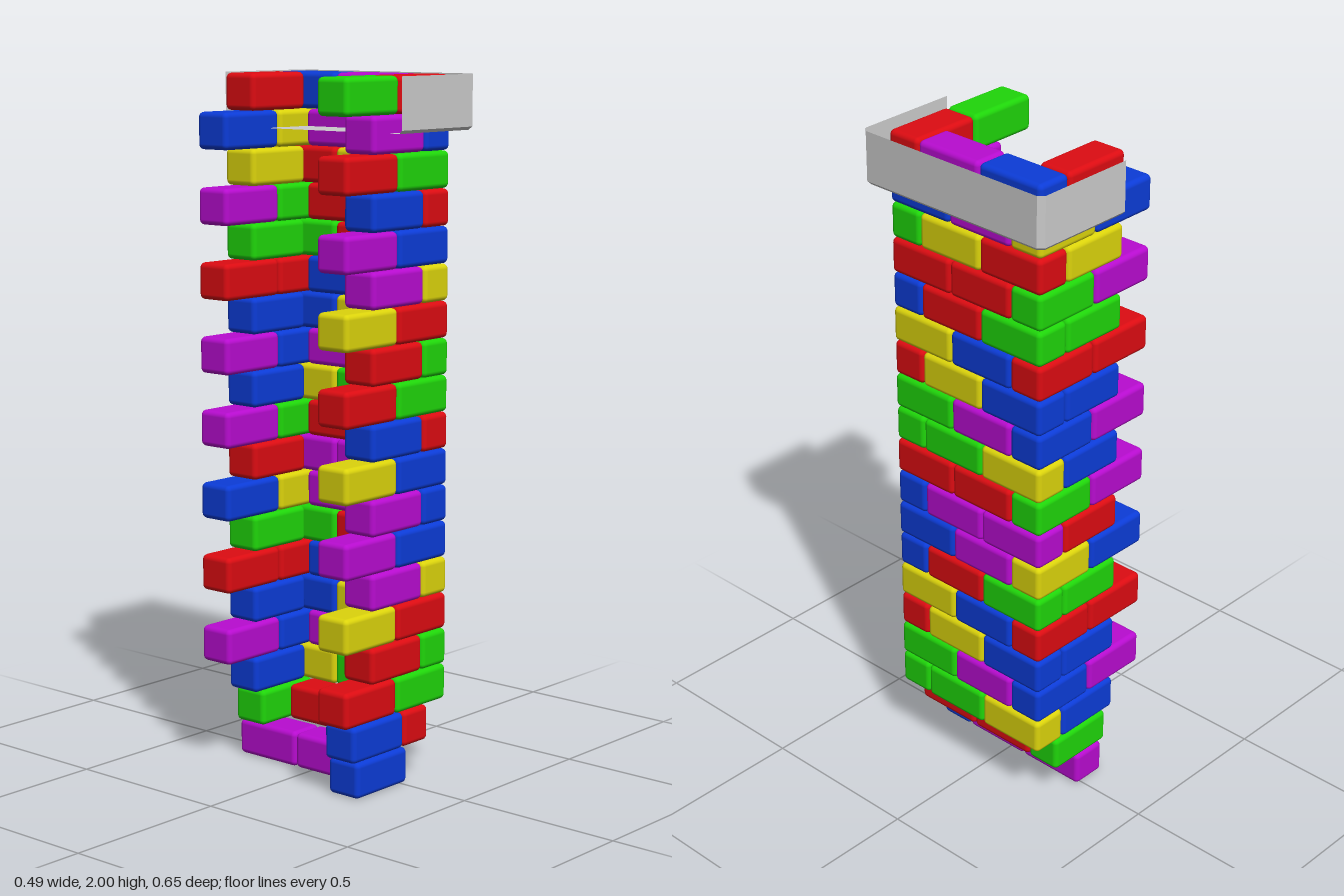
import * as THREE from 'three';
import { RoundedBoxGeometry } from 'three/addons/geometries/RoundedBoxGeometry.js';

const ROW = 2 / 19;               // height of one course
const L = 0.22, W = 0.11;         // brick length and width
const SIDE_X = 0.142, WALL_Z = 0.221;

const colors = { R: 0xdd0c12, G: 0x1fd60a, B: 0x0c3cd8, Y: 0xdcd40c, M: 0xb80cd0 };
const materials = {};
for (const k in colors) materials[k] = new THREE.MeshStandardMaterial({ color: colors[k] });

// Brick slots: [name, x, z, runs along z]
const evenSlots = [
  ['frontBrick', -0.136, WALL_Z], ['frontBrick', 0.086, WALL_Z],
  ['sideBrick', SIDE_X, 0.055, true], ['sideBrick', SIDE_X, -0.166, true],
  ['backBrick', -0.024, -WALL_Z],
];
const oddSlots = [
  ['frontBrick', -0.024, WALL_Z],
  ['sideBrick', SIDE_X, 0.166, true], ['sideBrick', SIDE_X, -0.055, true],
  ['backBrick', 0.086, -WALL_Z], ['backBrick', -0.136, -WALL_Z],
];
// The two lowest courses step inwards
const footSlots = [
  [['frontBrick', -0.087, WALL_Z], ['sideBrick', -0.034, 0.055, true], ['sideBrick', -0.034, -0.166, true]],
  [['frontBrick', -0.103, WALL_Z], ['sideBrick', 0.061, 0.166, true], ['sideBrick', 0.061, -0.055, true],
    ['backBrick', 0.006, -WALL_Z]],
];
// Brick colours per course, bottom to top, in slot order
const courses = [
  'BMM', 'BRRG', 'RGGYB', 'RGMBM', 'YRYBB', 'MYBRR', 'MBRGG', 'MBMYB', 'YBMMR', 'BRRGM',
  'RGGYB', 'RGMBM', 'YRYBB', 'MYBRR', 'MBRGG', 'BRRGM', 'RGYRY', 'MBMYB', 'GRMBR',
];

// Open tray around the top courses: three walls and a floor
function createTray() {
  const tray = new THREE.Group();
  tray.name = 'topTray';
  const material = new THREE.MeshStandardMaterial({ color: 0xcccccc, side: THREE.DoubleSide });
  const outline = [[-0.077, 0.325], [0.231, 0.325], [0.247, 0.309], [0.247, -0.309], [0.231, -0.325], [-0.077, -0.325]];
  const levels = [[2, 0], [1.855, 0], [1.846, 0.008]];   // height, inset

  // Walls: a grid wrapped along the outline, bevelled at the bottom
  const bent = new THREE.PlaneGeometry(1, 1, outline.length - 1, levels.length - 1);
  const inset = ([x, z], d) => [x > 0 ? x - d : x, z - Math.sign(z) * d];
  levels.forEach(([y, d], j) => outline.forEach((p, i) => {
    const [x, z] = inset(p, d);
    bent.attributes.position.setXYZ(j * outline.length + i, x, y, z);
  }));
  const wallGeometry = bent.toNonIndexed();
  wallGeometry.computeVertexNormals();
  const walls = new THREE.Mesh(wallGeometry, material);
  walls.name = 'trayWalls';

  const floorShape = new THREE.Shape(outline.map((p) => {
    const [x, z] = inset(p, 0.008);
    return new THREE.Vector2(x, -z);
  }));
  const floor = new THREE.Mesh(new THREE.ShapeGeometry(floorShape).rotateX(-Math.PI / 2), material);
  floor.position.y = 1.846;
  floor.name = 'trayFloor';
  tray.add(walls, floor);
  return tray;
}

export function createModel() {
  const model = new THREE.Group();
  model.name = 'brickStack';
  const brick = new RoundedBoxGeometry(L, ROW - 0.001, W, 3, 0.015);

  courses.forEach((codes, row) => {
    const course = new THREE.Group();
    course.name = `course${row + 1}`;
    course.position.y = (row + 0.5) * ROW;
    const slots = footSlots[row] ?? (row % 2 ? oddSlots : evenSlots);
    slots.forEach(([name, x, z, turned], i) => {
      const mesh = new THREE.Mesh(brick, materials[codes[i]]);
      mesh.name = name;
      mesh.position.set(x, 0, z);
      if (turned) mesh.rotation.y = Math.PI / 2;
      course.add(mesh);
    });
    model.add(course);
  });

  model.add(createTray());
  return model;
}
